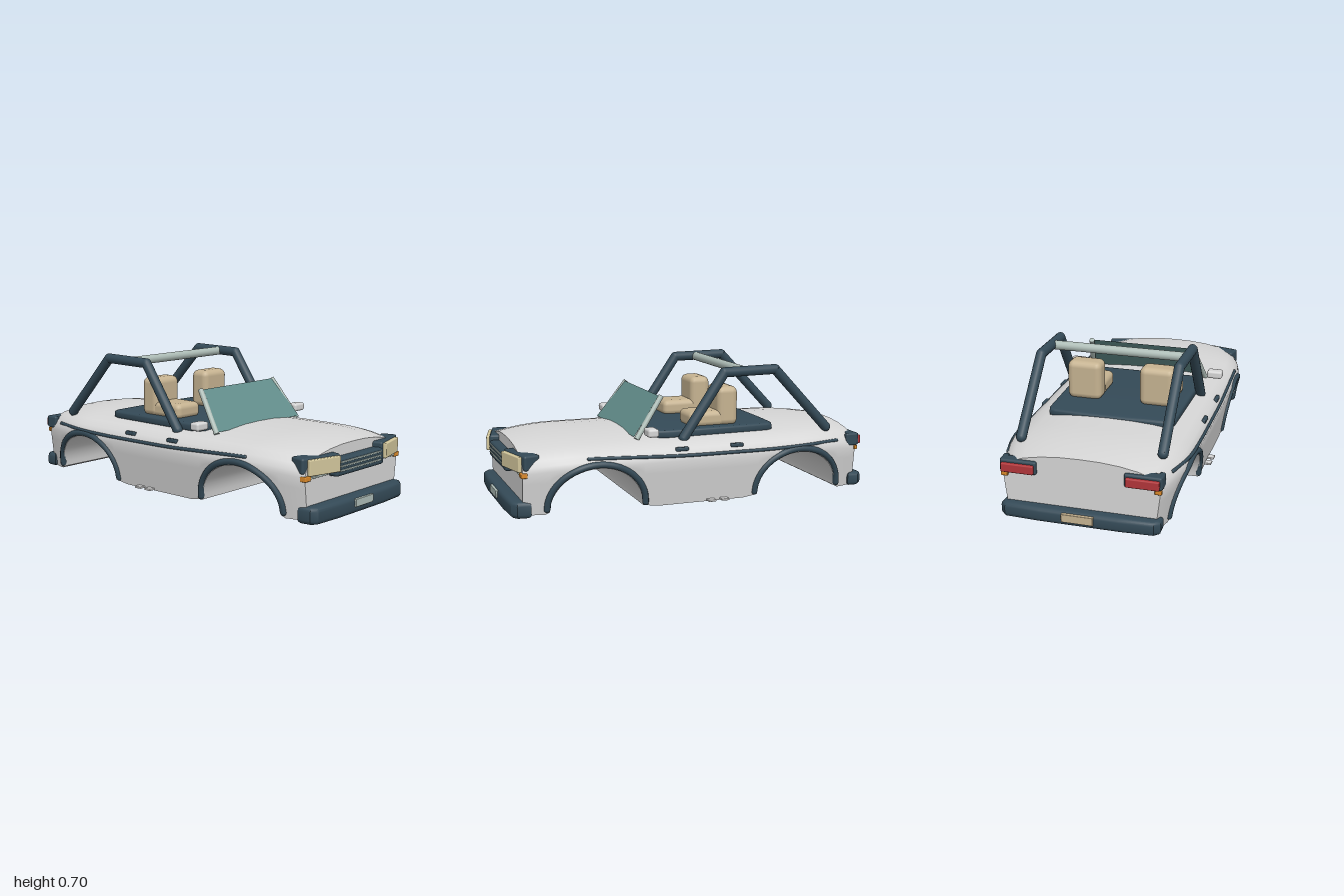
import * as THREE from 'three';
import { toCreasedNormals } from 'three/addons/utils/BufferGeometryUtils.js';
import { RoundedBoxGeometry } from 'three/addons/geometries/RoundedBoxGeometry.js';

const mat = (name, color, extra = {}) => Object.assign(new THREE.MeshStandardMaterial({ color, ...extra }), { name });
const V = (x, y, z) => new THREE.Vector3(x, y, z);

// Upper half of the body section: fraction of half width, drop below the crown
const SECTION = [[0, 0], [0.25, 0.002], [0.5, 0.011], [0.72, 0.027], [0.85, 0.043], [0.94, 0.068], [0.985, 0.097], [1, 0.125]];
const ARCHES = [0.552, -0.558];
const halfWidth = z => 0.47 - 0.072 * Math.max(0, (Math.abs(z) - 0.55) / 0.37) ** 2;
const crown = z => 0.375 - 0.026 * Math.max(0, (Math.abs(z) - 0.6) / 0.32) ** 2;
const lowerX = (z, y) => halfWidth(z) * (1 - 0.07 * (crown(z) - 0.125 - y) / 0.23);

// Half width of the body side at a given height
function sideX(z, y) {
  const drop = crown(z) - y;
  for (let i = 1; i < SECTION.length; i++) {
    const [f0, d0] = SECTION[i - 1], [f1, d1] = SECTION[i];
    if (drop <= d1) return halfWidth(z) * (f0 + (f1 - f0) * (drop - d0) / (d1 - d0));
  }
  return lowerX(z, y);
}

// Body shell lofted from front to back, with the wheel tunnels cut into its lower edge
function bodyGeometry() {
  const stations = [];
  const floor = (from, to, n) => {
    for (let i = 0; i <= n; i++) stations.push([from + (to - from) * i / n, 0.018]);
  };
  const arch = c => {
    for (let i = 0; i <= 24; i++) {
      const a = Math.PI * i / 24;
      stations.push([c + 0.24 * Math.cos(a), 0.03 + 0.215 * Math.sin(a)]);
    }
  };
  floor(0.92, 0.815, 4);
  arch(ARCHES[0]);
  floor(0.23, -0.24, 6);
  arch(ARCHES[1]);
  floor(-0.82, -0.93, 4);

  const pos = [], index = [];
  let n = 0;
  for (const [z, yb] of stations) {
    const half = SECTION.map(([f, d]) => [f * halfWidth(z), crown(z) - d]);
    const ys = half.at(-1)[1];
    for (let k = 1; k <= 4; k++) {
      const y = ys + (yb - ys) * k / 4;
      half.push([lowerX(z, y), y]);
    }
    const ring = [...half, [0, yb], ...half.slice(1).reverse().map(([x, y]) => [-x, y])];
    n = ring.length;
    ring.forEach(([x, y]) => pos.push(x, y, z));
  }
  const last = (stations.length - 1) * n, front = stations.length * n;
  pos.push(0, 0.2, 0.92, 0, 0.2, -0.93);
  for (let j = 0; j < n; j++) {
    const k = (j + 1) % n;
    for (let o = 0; o < last; o += n) index.push(o + j, o + k, o + n + j, o + k, o + n + k, o + n + j);
    index.push(front, k, j, front + 1, last + j, last + k);
  }
  const g = new THREE.BufferGeometry();
  g.setAttribute('position', new THREE.Float32BufferAttribute(pos, 3));
  g.setIndex(index);
  return toCreasedNormals(g, 0.65);
}

export function createModel() {
  const root = new THREE.Group();
  root.name = 'openTopCar';
  const paint = mat('bodyPaint', 0xd6d6d6), dark = mat('darkTrim', 0x344a57), tan = mat('seatTan', 0xc6b391);
  const lamp = mat('lampCream', 0xd3c79c), glass = mat('tealGlass', 0x648f8d, { side: THREE.DoubleSide });
  const metal = mat('paleMetal', 0xaebdb7), amber = mat('amber', 0xdb8a2a), red = mat('tailRed', 0xb2363a);

  const add = (name, geo, m, x = 0, y = 0, z = 0, ry = 0) => {
    const mesh = new THREE.Mesh(geo, m);
    mesh.name = name;
    mesh.position.set(x, y, z);
    mesh.rotation.y = ry;
    root.add(mesh);
    return mesh;
  };
  const box = (name, m, w, h, d, x, y, z, r = 0.008, ry = 0) =>
    add(name, new RoundedBoxGeometry(w, h, d, 2, Math.min(r, w / 2.1, h / 2.1, d / 2.1)), m, x, y, z, ry);
  const bar = (name, m, a, b, r) => {
    const mesh = add(name, new THREE.CylinderGeometry(r, r, a.distanceTo(b), 16), m);
    mesh.position.copy(a).lerp(b, 0.5);
    mesh.quaternion.setFromUnitVectors(V(0, 1, 0), b.clone().sub(a).normalize());
  };
  const tube = (name, m, pts, r) => {
    add(name, new THREE.TubeGeometry(new THREE.CatmullRomCurve3(pts), 48, r, 8), m);
    for (const p of [pts[0], pts.at(-1)]) add(name + 'End', new THREE.SphereGeometry(r, 8, 6), m, p.x, p.y, p.z);
  };
  // Plan outline mirrored in x and extruded upwards with a bevel
  const slab = (name, m, half, y0, y1, bevel) => {
    const pts = [...half, ...half.slice().reverse().map(([x, z]) => [-x, z])];
    const shape = new THREE.Shape(pts.map(([x, z]) => new THREE.Vector2(x, -z)));
    const g = new THREE.ExtrudeGeometry(shape, {
      depth: y1 - y0 - 2 * bevel, bevelThickness: bevel, bevelSize: bevel, bevelOffset: -bevel, bevelSegments: 3,
    });
    g.rotateX(-Math.PI / 2);
    add(name, toCreasedNormals(g, 0.6), m, 0, y0 + bevel, 0);
  };

  add('bodyShell', bodyGeometry(), paint);

  // Cockpit cover
  slab('cockpitCover', dark, [[0.27, 0.225], [0.31, 0.215], [0.335, 0.19], [0.345, 0.14], [0.336, -0.42],
    [0.325, -0.455], [0.295, -0.468], [0.1, -0.475]], 0.343, 0.386, 0.012);

  // Bumpers wrapping around the corners, with plates
  slab('frontBumper', dark, [[0.2, 0.985], [0.36, 0.975], [0.392, 0.95], [0.398, 0.88], [0.36, 0.88]], 0.002, 0.088, 0.022);
  slab('rearBumper', dark, [[0.36, -0.89], [0.4, -0.89], [0.402, -0.95], [0.375, -0.978], [0.2, -0.986]], 0.015, 0.088, 0.02);
  box('frontPlate', metal, 0.15, 0.04, 0.02, 0, 0.058, 0.985, 0.003);
  box('rearPlate', tan, 0.16, 0.042, 0.02, 0, 0.06, -0.988, 0.003);

  // Grille with pale bars
  box('grille', dark, 0.41, 0.088, 0.06, 0, 0.249, 0.938, 0.015);
  for (const y of [0.275, 0.254, 0.233]) box('grilleBar', metal, 0.355, 0.009, 0.008, 0, y, 0.968, 0.002);

  // Windshield glass
  const pane = new THREE.BufferGeometry();
  pane.setAttribute('position', new THREE.Float32BufferAttribute(
    [-0.332, 0.362, 0.325, 0.332, 0.362, 0.325, 0.285, 0.56, 0.172, -0.285, 0.56, 0.172], 3));
  pane.setIndex([0, 1, 2, 0, 2, 3]);
  pane.computeVertexNormals();
  add('windshield', pane, glass);

  // Roll cage crossbar
  bar('rollCrossbar', metal, V(-0.35, 0.675, -0.285), V(0.35, 0.675, -0.285), 0.024);

  for (const s of [1, -1]) {
    bar('windshieldPillar', metal, V(s * 0.333, 0.35, 0.312), V(s * 0.292, 0.56, 0.163), 0.014);

    // Roll bar with rounded joints
    const path = [V(s * 0.362, 0.345, 0.065), V(s * 0.362, 0.676, -0.162), V(s * 0.362, 0.68, -0.452), V(s * 0.362, 0.35, -0.762)];
    path.forEach((p, i) => {
      add('rollBarJoint', new THREE.SphereGeometry(0.0265, 16, 10), dark, p.x, p.y, p.z);
      if (i) bar('rollBar', dark, path[i - 1], p, 0.0265);
    });

    // Seats
    box('seatCushion', tan, 0.175, 0.085, 0.24, s * 0.197, 0.418, -0.122, 0.03);
    box('seatBack', tan, 0.186, 0.21, 0.115, s * 0.197, 0.482, -0.22, 0.034);

    // Door mirror
    box('mirror', paint, 0.085, 0.043, 0.058, s * 0.402, 0.395, 0.255, 0.013);

    // Headlight in its housing
    box('headlightHousing', dark, 0.235, 0.078, 0.085, s * 0.285, 0.282, 0.9, 0.012, s * 0.25);
    box('headlight', lamp, 0.192, 0.078, 0.035, s * 0.286, 0.274, 0.944, 0.006, s * 0.25);
    box('headlightStrip', metal, 0.19, 0.01, 0.012, s * 0.28, 0.222, 0.922, 0.002);
    box('frontIndicator', amber, 0.045, 0.026, 0.035, s * 0.384, 0.222, 0.913, 0.005);

    // Tail lights
    box('tailLightHousing', dark, 0.185, 0.068, 0.06, s * 0.312, 0.276, -0.918, 0.01);
    box('tailLightHousingSide', dark, 0.03, 0.068, 0.07, s * 0.392, 0.276, -0.905, 0.01);
    box('tailLight', red, 0.165, 0.046, 0.03, s * 0.312, 0.272, -0.95, 0.006);
    box('rearIndicator', amber, 0.035, 0.022, 0.02, s * 0.385, 0.23, -0.932, 0.004);

    // Wheel arch trims follow the body side
    for (const c of ARCHES) {
      const pts = [];
      for (let i = 0; i <= 16; i++) {
        const a = Math.PI * i / 16, z = c + 0.252 * Math.cos(a), y = 0.045 + 0.218 * Math.sin(a);
        pts.push(V(s * (sideX(z, y) - 0.003), y, z));
      }
      tube('archTrim', dark, pts, 0.017);
    }

    // Side moulding, door handles and sill pipes
    const line = [[0.6, 0.293], [0.45, 0.288], [0.3, 0.282], [0.1, 0.275], [-0.15, 0.273], [-0.4, 0.273], [-0.6, 0.279], [-0.8, 0.283]];
    tube('sideMoulding', dark, line.map(([z, y]) => V(s * sideX(z, y), y, z)), 0.009);
    for (const z of [0.105, -0.2]) box('doorHandle', dark, 0.022, 0.02, 0.07, s * (sideX(z, 0.306) + 0.002), 0.306, z, 0.006);
    for (const z of [-0.055, -0.128]) box('sillPipe', paint, 0.04, 0.011, 0.042, s * 0.453, 0.026, z, 0.003);
  }
  return root;
}
